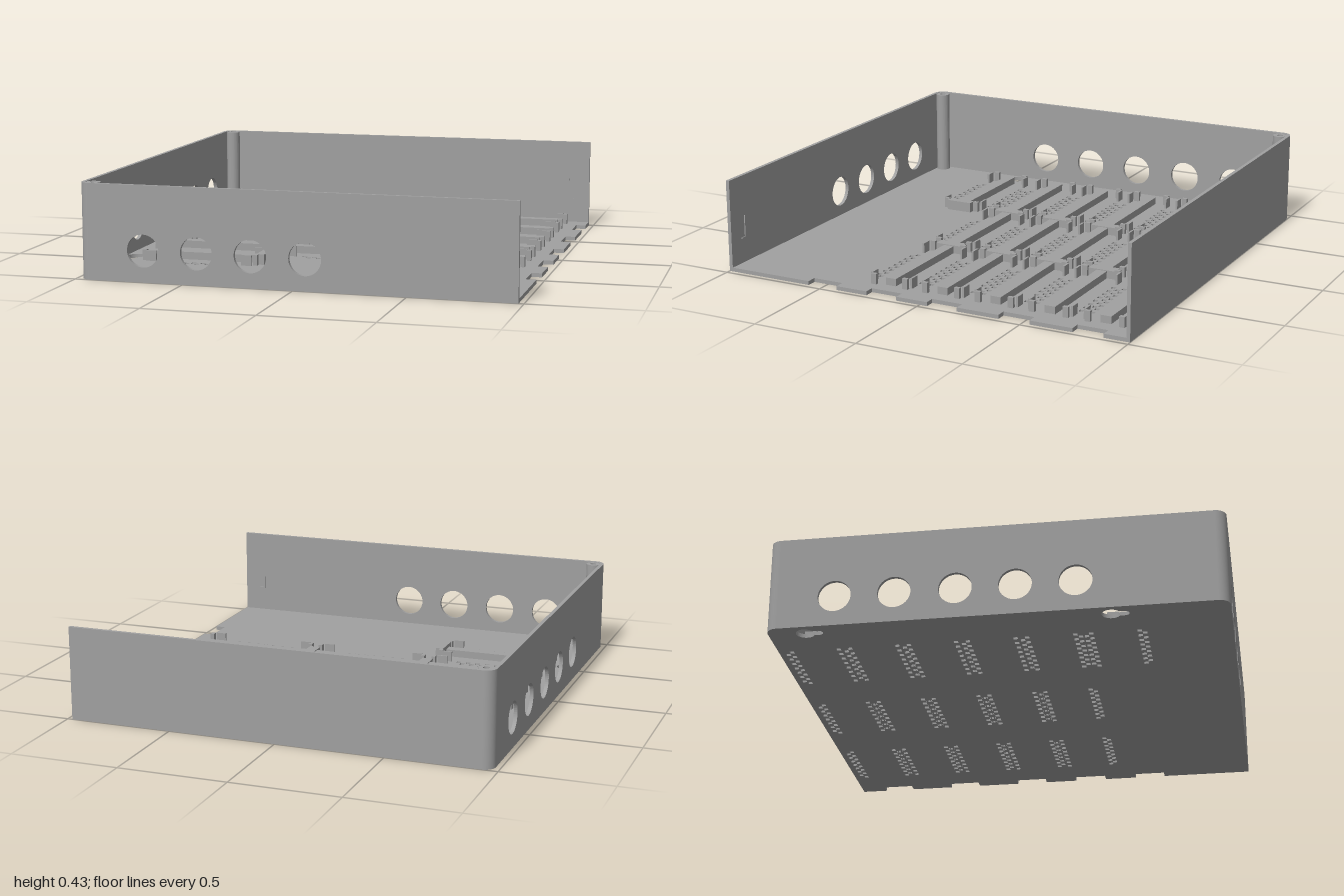
import * as THREE from 'three';

const W = 0.977, D = 1, H = 0.43, T = 0.017, FLOOR = 0.018, R = 0.05;
const ROWS = [-0.837, -0.574, -0.312, -0.049, 0.213, 0.493];
const COLUMNS = [-0.57, 0.016, 0.602];

export function createModel() {
  const group = new THREE.Group();
  const grey = new THREE.MeshStandardMaterial({ color: 0xa0a0a0 });
  grey.name = 'grey';

  const add = (name, geometry, x = 0, y = 0, z = 0) => {
    const mesh = new THREE.Mesh(geometry, grey);
    mesh.name = name;
    mesh.position.set(x, y, z);
    group.add(mesh);
    return mesh;
  };
  // box given by its ranges
  const box = (name, x0, x1, y0, y1, z0, z1) =>
    add(name, new THREE.BoxGeometry(x1 - x0, y1 - y0, z1 - z0),
      (x0 + x1) / 2, (y0 + y1) / 2, (z0 + z1) / 2);
  const extrude = (shape, depth) =>
    new THREE.ExtrudeGeometry(shape, { depth, bevelEnabled: false, curveSegments: 24 });
  // plan shape (x, z) raised from the ground to the given height
  const raise = (shape, height) =>
    extrude(shape, height).rotateX(Math.PI / 2).translate(0, height, 0);
  const circle = (x, y, r) => new THREE.Path().absarc(x, y, r, 0, Math.PI * 2, true);
  const rectPath = (x0, x1, y0, y1) => new THREE.Path([
    [x0, y0], [x0, y1], [x1, y1], [x1, y0]].map(p => new THREE.Vector2(...p)));
  const columnsOf = row => (row < 5 ? COLUMNS : COLUMNS.slice(0, 1));

  // floor outline with rounded left corners and a notched open edge
  const floor = new THREE.Shape();
  floor.moveTo(-W + R, -D);
  floor.lineTo(W, -D);
  for (const [a, b] of [[-0.88, -0.737], [-0.535, -0.387], [-0.185, -0.037], [0.117, 0.27], [0.424, 0.572]]) {
    floor.lineTo(W, a);
    floor.lineTo(W - 0.047, a);
    floor.lineTo(W - 0.047, b);
    floor.lineTo(W, b);
  }
  floor.lineTo(W, D);
  floor.lineTo(-W + R, D);
  floor.absarc(-W + R, D - R, R, Math.PI / 2, Math.PI, false);
  floor.lineTo(-W, -D + R);
  floor.absarc(-W + R, -D + R, R, Math.PI, Math.PI * 1.5, false);

  // staggered vent holes on both sides of every bay
  ROWS.forEach((z, row) => {
    for (const x of columnsOf(row)) for (const side of [-1, 1]) for (let i = 0; i < 15; i++) {
      const cx = x + (i - 7) * 0.0237 + 0.001;
      const cz = z + side * (i % 2 ? 0.127 : 0.1055);
      floor.holes.push(rectPath(cx - 0.0105, cx + 0.0105, cz - 0.0102, cz + 0.0102));
    }
  });

  // keyhole mounts
  for (const z of [-0.837, 0.493]) {
    const key = new THREE.Path();
    const a = 1.05;
    key.absarc(-0.911, z, 0.041, Math.PI / 2 - a / 2, Math.PI / 2 + a / 2, true);
    key.absarc(-0.911, z + 0.058, 0.0205, Math.PI, 0, true);
    key.closePath();
    floor.holes.push(key);
  }
  add('floor', raise(floor, FLOOR));

  // front, back and side walls
  const wall = (x0, x1, holes) => {
    const shape = new THREE.Shape([[x0, 0], [x1, 0], [x1, H], [x0, H]].map(p => new THREE.Vector2(...p)));
    shape.holes.push(...holes.map(x => circle(x, 0.14, 0.073)));
    return extrude(shape, T);
  };
  add('frontWall', wall(-W + R, W, [-0.68, -0.435, -0.19, 0.055]), 0, 0, D - T);
  add('backWall', wall(-W + R, W, []), 0, 0, -D);
  const side = wall(-D + R, D - R, [-0.35, -0.09, 0.17, 0.437, 0.7]);
  add('sideWall', side, -W, 0, 0).rotation.y = Math.PI / 2;

  // rounded corners with hollow screw posts
  for (const s of [-1, 1]) {
    const cx = -W + R, cz = s * (D - R);
    const a0 = s > 0 ? Math.PI / 2 : Math.PI;
    const corner = new THREE.Shape();
    corner.absarc(cx, cz, R, a0, a0 + Math.PI / 2, false);
    corner.absarc(cx, cz, R - T, a0 + Math.PI / 2, a0, true);
    add('roundedCorner', raise(corner, H));
    const post = new THREE.Shape().absarc(cx, cz, 0.034, 0, Math.PI * 2, false);
    post.holes.push(circle(cx, cz, 0.014));
    add('screwPost', raise(post, H - 0.002));
  }

  // bays: rail, cross pieces, clips and guide tabs
  ROWS.forEach((z, row) => {
    const full = row < 5;
    box('rail', -0.826, full ? 0.86 : -0.312, FLOOR, 0.052, z - 0.025, z + 0.025);
    if (full) {
      for (const x of [-0.277, 0.309])
        box('crossPiece', x - 0.026, x + 0.026, FLOOR, 0.056, z - 0.066, z + 0.066);
    } else {
      box('endStop', -0.308, -0.27, FLOOR, 0.066, z - 0.064, z + 0.064);
    }
    for (const x of columnsOf(row)) for (const s of [-1, 1]) {
      for (const e of [-1, 1]) {
        const cx = x + e * 0.266, cz = z + s * 0.08;
        box('clip', cx - 0.009, cx + 0.009, FLOOR, 0.066, cz - 0.013, cz + 0.013);
        const tx = x + e * 0.229;
        box('guideTab', tx - 0.024, tx + 0.024, FLOOR, 0.066, z + s * 0.101 - 0.005, z + s * 0.101 + 0.005);
      }
    }
  });

  // small catches inside the open ends of the walls
  for (const s of [-1, 1]) {
    const z = s * (D - T - 0.002);
    box('catch', 0.868, 0.874, 0.14, 0.24, z - 0.003, z + 0.003);
    box('catchFoot', 0.868, 0.9, 0.134, 0.14, z - 0.003, z + 0.003);
  }
  return group;
}
